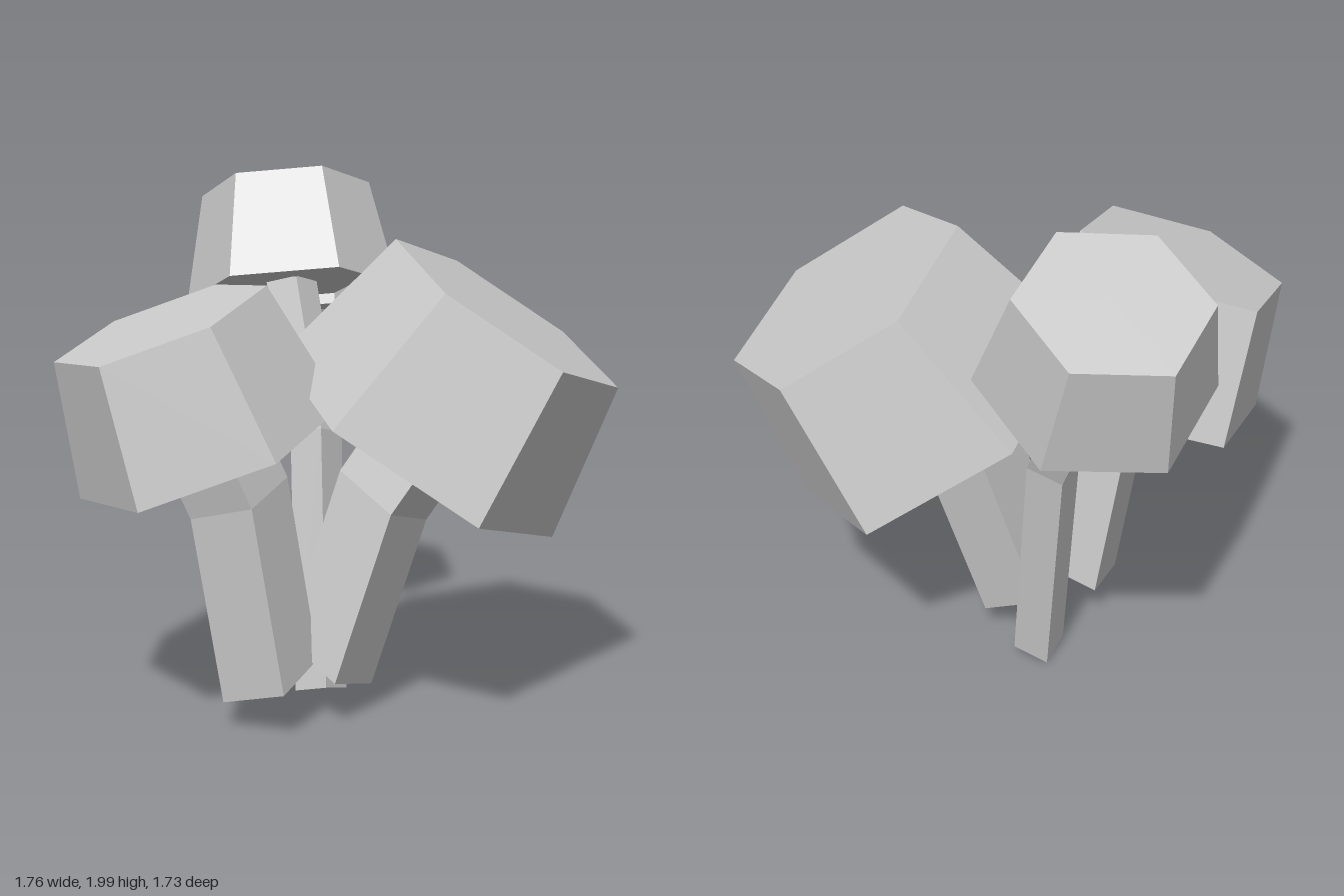
import * as THREE from 'three';

const material = new THREE.MeshStandardMaterial({ color: 0xcccccc, flatShading: true });

function makeMesh(geometry, name) {
  const flat = geometry.toNonIndexed();
  flat.computeVertexNormals();
  const mesh = new THREE.Mesh(flat, material);
  mesh.name = name;
  return mesh;
}

// Six-sided cap, tapering upward, with a shallow recess underneath
function makeCap(radius, height) {
  const depth = radius * 0.1;
  const profile = [
    [0, depth], [radius * 0.73, depth], [radius * 0.73, 0],
    [radius, 0], [radius * 0.8, height], [0, height],
  ].map(([r, y]) => new THREE.Vector2(r, y));
  return makeMesh(new THREE.LatheGeometry(profile, 6), 'cap');
}

// Square stem through three centres, its sections parallel to the cap rim
function makeStem(width, path, xDir, zDir) {
  const geometry = new THREE.BoxGeometry(width, 2, width, 1, 2, 1);
  const pos = geometry.attributes.position;
  for (let i = 0; i < pos.count; i++) {
    const centre = path[Math.round(pos.getY(i)) + 1];
    const p = new THREE.Vector3(...centre)
      .addScaledVector(xDir, pos.getX(i))
      .addScaledVector(zDir, pos.getZ(i));
    pos.setXYZ(i, p.x, p.y, p.z);
  }
  return makeMesh(geometry, 'stem');
}

function makeMushroom({ name, rim, top, corner, radius, width, path }) {
  const group = new THREE.Group();
  group.name = name;

  // Tilted frame: y along the cap axis, z towards one corner of the hexagon
  const base = new THREE.Vector3(...rim);
  const yDir = new THREE.Vector3(...top).sub(base);
  const height = yDir.length();
  yDir.normalize();
  const xDir = new THREE.Vector3().crossVectors(yDir, new THREE.Vector3(...corner)).normalize();
  const zDir = new THREE.Vector3().crossVectors(xDir, yDir);

  const cap = makeCap(radius, height);
  cap.quaternion.setFromRotationMatrix(new THREE.Matrix4().makeBasis(xDir, yDir, zDir));
  cap.position.copy(base);
  group.add(cap, makeStem(width, path, xDir, zDir));
  return group;
}

export function createModel() {
  const model = new THREE.Group();
  model.name = 'mushroomCluster';
  const mushrooms = [
    {
      name: 'frontMushroom', radius: 0.5, width: 0.27,
      rim: [-0.335, 1.03, 0.355], top: [-0.46, 1.5, 0.475], corner: [0.03, -0.1, 0.395],
      path: [[-0.15, 0.175, 0.255], [-0.24, 0.865, 0.315], [-0.315, 1.1, 0.385]],
    },
    {
      name: 'leftMushroom', radius: 0.6, width: 0.27,
      rim: [0.225, 1.02, -0.15], top: [0.52, 1.515, -0.285], corner: [0, 0.135, 0.465],
      path: [[-0.035, 0.21, 0.035], [0.14, 0.845, -0.063], [0.29, 1.1, -0.145]],
    },
    {
      name: 'backMushroom', radius: 0.41, width: 0.14,
      rim: [-0.49, 1.5, -0.44], top: [-0.59, 1.885, -0.55], corner: [-0.02, 0.085, 0.32],
      path: [[-0.15, 0.04, -0.095], [-0.265, 1.0, -0.25], [-0.505, 1.55, -0.455]],
    },
  ];
  for (const m of mushrooms) model.add(makeMushroom(m));
  return model;
}
